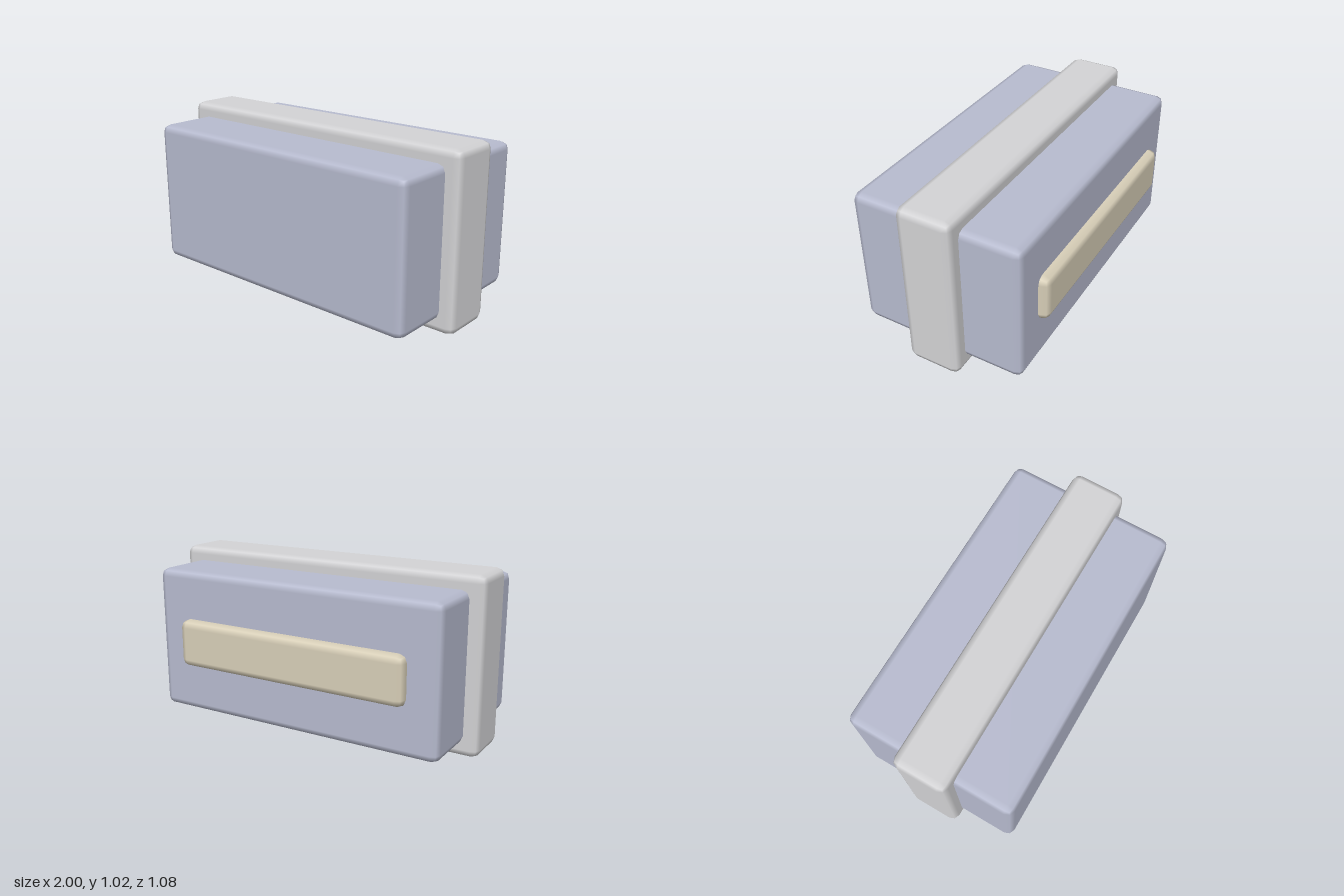
import * as THREE from 'three';
import { RoundedBoxGeometry } from 'three/addons/geometries/RoundedBoxGeometry.js';

const RADIUS = 0.045;

function material(name, color) {
  const m = new THREE.MeshStandardMaterial({ color });
  m.name = name;
  return m;
}

// Bevelled box given by its half width and its y and z extents
function block(name, halfWidth, [y0, y1], [z0, z1], mat) {
  const geometry = new RoundedBoxGeometry(halfWidth * 2, y1 - y0, z1 - z0, 1, RADIUS);
  const mesh = new THREE.Mesh(geometry, mat);
  mesh.name = name;
  mesh.position.set(0, (y0 + y1) / 2, (z0 + z1) / 2);
  return mesh;
}

export function createModel() {
  const group = new THREE.Group();
  group.name = 'bandedBlock';

  group.add(
    // Main body running front to back
    block('body', 0.915, [0.084, 0.94], [-0.481, 0.538], material('blueGrey', 0xb8bcd0)),
    // Raised collar around the middle
    block('collar', 1, [0, 1.023], [-0.133, 0.193], material('lightGrey', 0xd4d4d6)),
    // Long bar set into the back face
    block('backBar', 0.733, [0.37, 0.655], [-0.537, -0.437], material('cream', 0xd9d0b9)),
  );
  return group;
}
